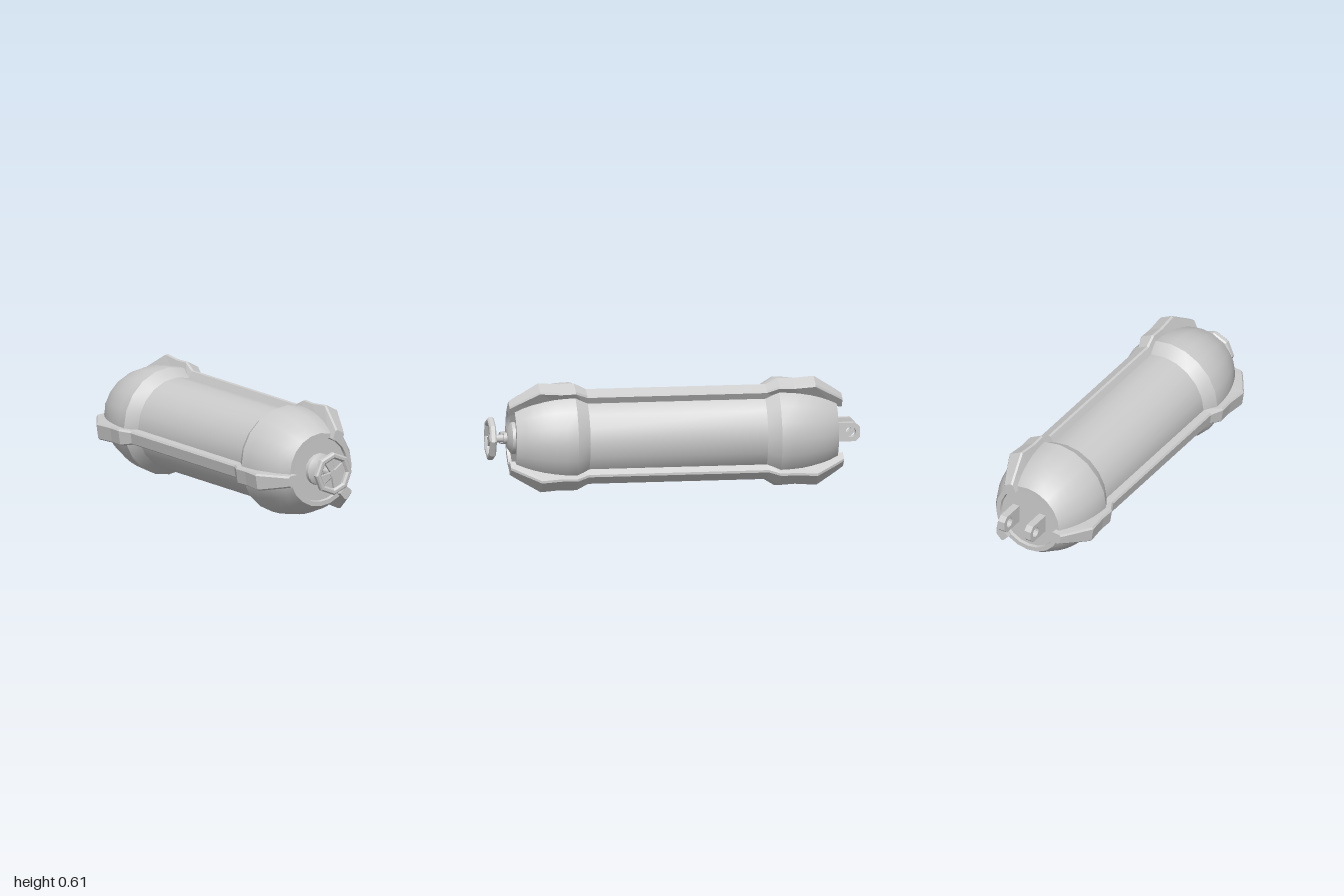
import * as THREE from 'three';
import { toCreasedNormals } from 'three/addons/utils/BufferGeometryUtils.js';

const smooth = new THREE.MeshStandardMaterial({ color: 0xcccccc });
const flat = new THREE.MeshStandardMaterial({ color: 0xcccccc, flatShading: true });

function add(parent, name, geometry, material = flat) {
  const mesh = new THREE.Mesh(geometry, material);
  mesh.name = name;
  parent.add(mesh);
  return mesh;
}

// Lathe around the z axis from [radius, z] pairs, listed with z rising on the outside
function turned(profile, sides) {
  const geo = new THREE.LatheGeometry(profile.map(([r, z]) => new THREE.Vector2(r, z)), sides);
  return toCreasedNormals(geo.rotateX(Math.PI / 2), 0.5);
}

// Body profile, mirrored front to back, with domed ends and recessed caps
function bodyGeometry() {
  const front = [[0.25, 0.48], [0.293, 0.55]];
  for (let i = 1; i <= 6; i++) {
    const t = (i / 6) * 0.82;
    front.push([0.293 * Math.cos(t), 0.55 + 0.438 * Math.sin(t)]);
  }
  front.push([0.175, 0.87], [0.172, 0.852], [0, 0.852]);
  const back = front.map(([r, z]) => [r, -z]).reverse();
  return turned([...back, ...front], 20);
}

// Strap swept along z through chamfered sections; x is radial, y is sideways
function strapGeometry() {
  // z, inner radius, outer radius, inner half width, outer half width
  const half = [
    [0.485, 0.23, 0.295, 0.036, 0.038],
    [0.55, 0.25, 0.328, 0.036, 0.047],
    [0.63, 0.25, 0.325, 0.036, 0.047],
    [0.745, 0.23, 0.335, 0.036, 0.048],
    [0.86, 0.18, 0.257, 0.03, 0.036],
    [0.9, 0.173, 0.228, 0.027, 0.031],
  ];
  const stations = [...half.map(([z, ...s]) => [-z, ...s]).reverse(), ...half];
  const c = 0.009;
  const loops = stations.map(([z, ri, ro, wi, wo]) => [
    [ri, -wi, z], [ro - c, -wo, z], [ro, c - wo, z],
    [ro, wo - c, z], [ro - c, wo, z], [ri, wi, z],
  ]);
  const pos = [];
  const tri = (...pts) => pts.forEach((p) => pos.push(...p));
  for (let i = 0; i < loops.length - 1; i++) {
    for (let j = 0; j < 6; j++) {
      const k = (j + 1) % 6;
      const [a, b] = [loops[i][j], loops[i][k]];
      const [d, e] = [loops[i + 1][j], loops[i + 1][k]];
      tri(a, b, e);
      tri(a, e, d);
    }
  }
  const first = loops[0], last = loops[loops.length - 1];
  for (let j = 1; j < 5; j++) {
    tri(last[0], last[j], last[j + 1]);
    tri(first[0], first[j + 1], first[j]);
  }
  const geo = new THREE.BufferGeometry();
  geo.setAttribute('position', new THREE.Float32BufferAttribute(pos, 3));
  geo.computeVertexNormals();
  return geo;
}

function polygon(points) {
  return new THREE.Shape(points.map(([x, y]) => new THREE.Vector2(x, y)));
}

// Lug plate with a chamfered tip and a round eye, reaching out along -z
function lugGeometry() {
  const plate = polygon([
    [0.84, -0.05], [0.975, -0.05], [1, -0.025], [1, 0.025], [0.975, 0.05], [0.84, 0.05],
  ]);
  plate.holes.push(new THREE.Path().absarc(0.95, 0, 0.028, 0, Math.PI * 2, true));
  const geo = new THREE.ExtrudeGeometry(plate, { depth: 0.04, bevelEnabled: false, curveSegments: 8 });
  return geo.translate(0, 0, -0.02).rotateY(Math.PI / 2);
}

function createValve() {
  const valve = new THREE.Group();
  valve.name = 'valve';
  add(valve, 'valveBase', turned([[0.088, 0.85], [0.085, 0.872], [0.052, 0.893], [0.03, 0.895],
    [0.03, 0.912], [0.021, 0.914], [0.021, 0.97], [0, 0.97]], 16), smooth);

  // Octagonal handwheel rim with bevelled edges
  add(valve, 'handwheelRim', turned([[0.082, 0.975], [0.092, 0.964], [0.108, 0.964], [0.116, 0.972],
    [0.116, 0.992], [0.108, 1], [0.092, 1], [0.082, 0.99], [0.082, 0.975]], 8));
  const hub = add(valve, 'handwheelHub', new THREE.CylinderGeometry(0.022, 0.022, 0.024, 8));
  hub.rotation.x = Math.PI / 2;
  hub.position.z = 0.98;

  // Four spokes that widen towards the rim
  const spoke = new THREE.ExtrudeGeometry(
    polygon([[0.012, -0.012], [0.084, -0.027], [0.084, 0.027], [0.012, 0.012]]),
    { depth: 0.014, bevelEnabled: false });
  for (let i = 0; i < 4; i++) {
    const arm = add(valve, 'handwheelSpoke', spoke);
    arm.position.z = 0.973;
    arm.rotation.z = 0.38 + (i * Math.PI) / 2;
  }
  return valve;
}

export function createModel() {
  const model = new THREE.Group();
  model.name = 'gasCylinder';
  const tank = new THREE.Group();
  tank.name = 'tank';
  tank.position.set(0.02, 0.295, 0);
  model.add(tank);

  add(tank, 'body', bodyGeometry(), smooth);

  // Three protective straps along the body
  const strap = strapGeometry();
  for (const degrees of [62, 189, -44]) {
    add(tank, 'strap', strap).rotation.z = THREE.MathUtils.degToRad(degrees);
  }

  tank.add(createValve());

  // Pair of mounting lugs at the back
  const lug = lugGeometry();
  for (const side of [-1, 1]) {
    add(tank, 'mountingLug', lug).position.x = side * 0.083;
  }
  return model;
}
